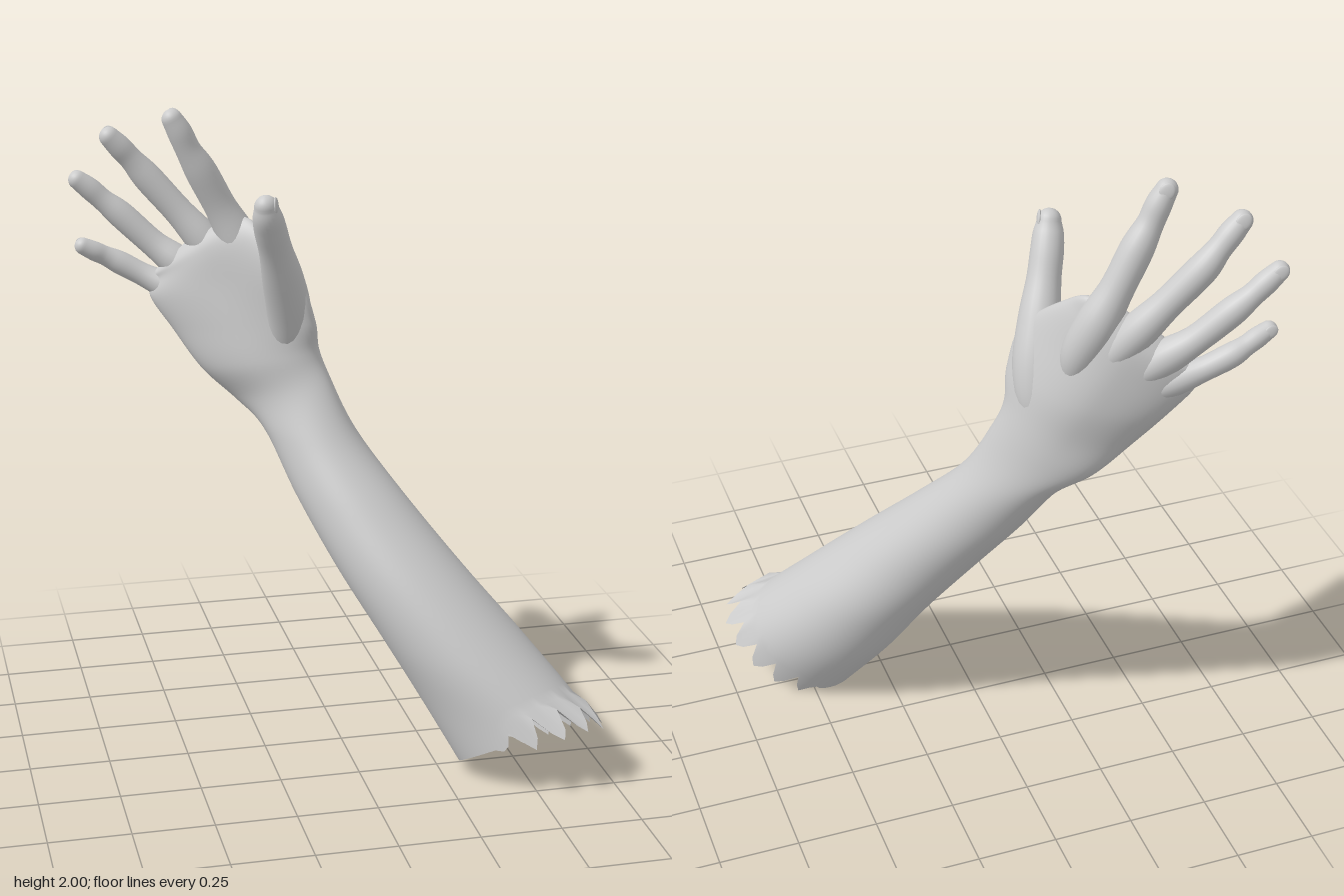
import * as THREE from 'three';

const V = (x, y, z) => new THREE.Vector3(x, y, z);
const spline = (points) => new THREE.CatmullRomCurve3(points, false, 'catmullrom');
const skin = new THREE.MeshStandardMaterial({ color: 0xcccccc, roughness: 0.8, side: THREE.DoubleSide });
const BACK = V(0.47, 0, -0.88).normalize(); // direction of the back of the hand

// Skin over a grid of points: at(i, j) gives row i, column j; columns wrap round.
function skinMesh(name, rows, cols, at) {
  const pos = [], index = [];
  for (let i = 0; i <= rows; i++) {
    for (let j = 0; j < cols; j++) {
      pos.push(...at(i, j).toArray());
      if (i === rows) continue;
      const a = i * cols + j, b = i * cols + (j + 1) % cols;
      index.push(a, b, a + cols, b, b + cols, a + cols);
    }
  }
  const geo = new THREE.BufferGeometry();
  geo.setAttribute('position', new THREE.Float32BufferAttribute(pos, 3));
  geo.setIndex(index);
  geo.computeVertexNormals();
  const mesh = new THREE.Mesh(geo, skin);
  mesh.name = name;
  return mesh;
}

// Forearm, wrist and palm: one loft of elliptical sections with a torn lower rim
function armAndPalm() {
  // height, centre x, centre z, half width, half depth
  const arm = [
    [0, 0.56, 0.405, 0.275, 0.185], [0.2, 0.455, 0.29, 0.278, 0.195],
    [0.4, 0.32, 0.18, 0.244, 0.195], [0.6, 0.178, 0.063, 0.215, 0.175],
    [0.8, 0.05, -0.068, 0.186, 0.148], [0.98, -0.05, -0.182, 0.162, 0.117],
  ];
  // centre, half-width vector (little finger to thumb side), half depth, forward curl of the thumb side
  const palm = [
    [V(-0.13, 1.11, -0.258), V(0.132, 0.045, 0.095), 0.092, 0.01],
    [V(-0.2, 1.21, -0.295), V(0.167, 0.045, 0.085), 0.09, 0.04],
    [V(-0.25, 1.32, -0.335), V(0.2, 0.035, 0.1), 0.085, 0.09],
    [V(-0.305, 1.435, -0.372), V(0.208, 0.055, 0.098), 0.072, 0.13],
    [V(-0.345, 1.522, -0.395), V(0.16, 0.092, 0.082), 0.058, 0.06],
    [V(-0.378, 1.555, -0.408), V(0.128, 0.1, 0.066), 0.036, 0.01],
    [V(-0.395, 1.574, -0.415), V(0.004, 0.004, 0.002), 0.002, 0],
  ];
  const h = Math.SQRT1_2, centres = [], widths = [], depths = [], curls = [];
  for (const [y, x, z, a, b] of arm) {
    centres.push(V(x, y, z));
    widths.push(V(a * h, 0, a * h));
    depths.push(V(b * h, 0, -b * h));
    curls.push(V(0, 0, 0));
  }
  for (const [c, w, d, curl] of palm) {
    centres.push(c);
    widths.push(w);
    depths.push(BACK.clone().multiplyScalar(d));
    curls.push(V(0, 0, curl));
  }
  const [C, W, D, F] = [centres, widths, depths, curls].map(spline);
  const rows = 90, cols = 64, last = centres.length - 1;
  return skinMesh('forearmAndPalm', rows, cols, (i, j) => {
    const a = (j / cols) * Math.PI * 2, outer = Math.max(0, Math.cos(a)) ** 2;
    // The rim rises and flares towards the outer side; teeth fade out on the inner side
    const rim = 0.11 + 0.11 * Math.cos(a) - 0.02 * Math.sin(a);
    const fade = THREE.MathUtils.smoothstep(Math.cos(a - 0.5), -0.5, 0.1);
    const tooth = (Math.abs((j % 4) - 2) - 1) * (0.036 + 0.014 * Math.sin(j * 1.7)) * fade;
    const t0 = Math.max(0, (i === 0 ? rim + tooth : rim + 0.06 * fade) / 0.2);
    const t = (i === 0 ? t0 : t0 + (last - t0) * (i - 1) / (rows - 1)) / last;
    const width = Math.cos(a) + (i === 0 ? 0.14 * outer : 0);
    return C.getPoint(t).addScaledVector(W.getPoint(t), width)
      .addScaledVector(D.getPoint(t), Math.sin(a)).addScaledVector(F.getPoint(t), outer);
  });
}

// Tapered round limb through [x, y, z, radius] stations, ending in a rounded tip
function limb(name, stations, back = BACK) {
  const path = spline(stations.map((s) => V(s[0], s[1], s[2])));
  const radii = spline(stations.map((s) => V(s[3], 0, 0)));
  const body = 36, cap = 7, cols = 24;
  return skinMesh(name, body + cap, cols, (i, j) => {
    const t = Math.min(1, i / body), phi = Math.max(0, i - body) / cap * Math.PI * 0.497;
    const dir = path.getTangent(t), r = radii.getPoint(t).x, a = (j / cols) * Math.PI * 2;
    const side = back.clone().cross(dir).normalize(), up = dir.clone().cross(side);
    return path.getPoint(t).addScaledVector(dir, r * Math.sin(phi))
      .addScaledVector(side, r * Math.cos(phi) * Math.cos(a))
      .addScaledVector(up, r * Math.cos(phi) * Math.sin(a));
  });
}

// Thin domed nail on the back of a finger's last joint
function nail(name, stations, back = BACK) {
  const [p, q] = stations.slice(-2).map((s) => V(s[0], s[1], s[2]));
  const r = stations.at(-1)[3], dir = q.clone().sub(p).normalize();
  const side = back.clone().cross(dir).normalize(), up = dir.clone().cross(side);
  const mesh = new THREE.Mesh(new THREE.SphereGeometry(1, 16, 10), skin);
  mesh.name = name;
  mesh.scale.set(r * 0.68, r * 0.2, r * 0.85);
  mesh.quaternion.setFromRotationMatrix(new THREE.Matrix4().makeBasis(side, up, dir));
  mesh.position.copy(q).addScaledVector(up, r * 0.84);
  return mesh;
}

export function createModel() {
  const model = new THREE.Group();
  model.name = 'forearmWithOpenHand';
  model.add(armAndPalm());

  // Fingers, from inside the palm over knuckle and joints to the tip
  const fingers = {
    indexFinger: [[-0.19, 1.37, -0.315, 0.03], [-0.205, 1.47, -0.328, 0.056], [-0.25, 1.58, -0.348, 0.063],
      [-0.305, 1.685, -0.352, 0.051], [-0.365, 1.8, -0.345, 0.05], [-0.405, 1.87, -0.338, 0.04],
      [-0.43, 1.925, -0.335, 0.039], [-0.453, 1.967, -0.334, 0.033]],
    middleFinger: [[-0.24, 1.4, -0.35, 0.03], [-0.285, 1.48, -0.38, 0.048], [-0.35, 1.57, -0.412, 0.055],
      [-0.425, 1.66, -0.437, 0.046], [-0.515, 1.765, -0.46, 0.046], [-0.565, 1.825, -0.461, 0.037],
      [-0.6, 1.865, -0.458, 0.037], [-0.632, 1.899, -0.455, 0.032]],
    ringFinger: [[-0.3, 1.36, -0.375, 0.03], [-0.35, 1.42, -0.41, 0.046], [-0.425, 1.49, -0.45, 0.053],
      [-0.5, 1.55, -0.48, 0.043], [-0.595, 1.64, -0.508, 0.043], [-0.65, 1.688, -0.517, 0.035],
      [-0.69, 1.725, -0.521, 0.035], [-0.727, 1.755, -0.522, 0.03]],
    littleFinger: [[-0.34, 1.33, -0.39, 0.03], [-0.39, 1.37, -0.42, 0.043], [-0.455, 1.41, -0.456, 0.047],
      [-0.53, 1.447, -0.484, 0.037], [-0.605, 1.488, -0.502, 0.037], [-0.65, 1.512, -0.503, 0.031],
      [-0.685, 1.53, -0.5, 0.031], [-0.72, 1.548, -0.498, 0.027]],
  };
  for (const [name, stations] of Object.entries(fingers)) {
    model.add(limb(name, stations), nail(name + 'Nail', stations));
  }

  // Thumb, growing out of the curled side of the palm
  const thumbBack = V(0.85, 0.1, 0.3).normalize();
  const thumb = [[-0.13, 1.18, -0.27, 0.03], [-0.115, 1.27, -0.24, 0.062], [-0.122, 1.38, -0.198, 0.07],
    [-0.152, 1.5, -0.145, 0.064], [-0.183, 1.6, -0.095, 0.052], [-0.205, 1.67, -0.06, 0.05],
    [-0.218, 1.715, -0.035, 0.046], [-0.225, 1.75, -0.022, 0.036]];
  model.add(limb('thumb', thumb, thumbBack), nail('thumbNail', thumb, thumbBack));
  return model;
}
